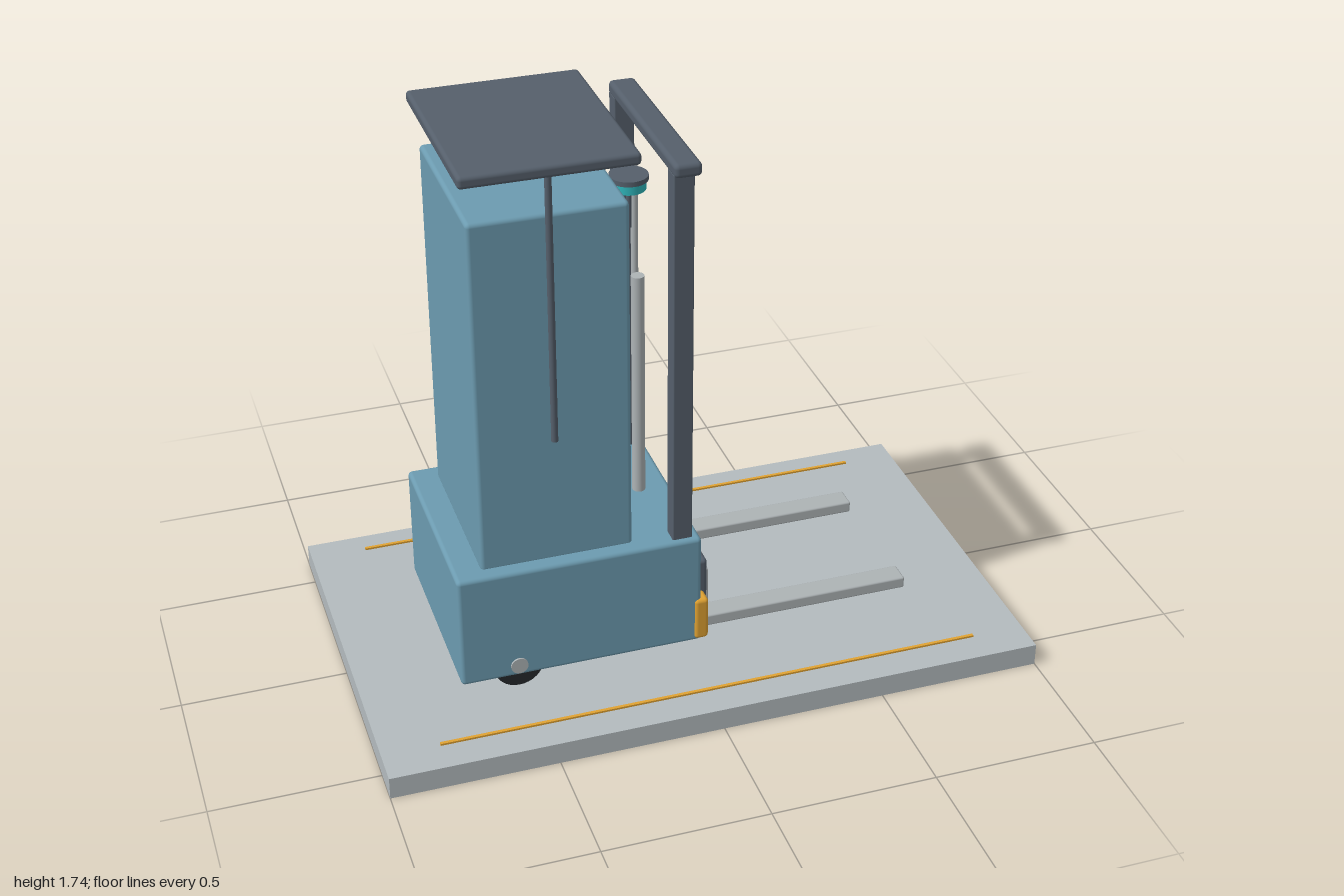
import * as THREE from 'three';
import { RoundedBoxGeometry } from 'three/addons/geometries/RoundedBoxGeometry.js';

const paint = (color) => new THREE.MeshStandardMaterial({ color });

export function createModel() {
  const model = new THREE.Group();
  const blue = paint(0x6c9bb0), dark = paint(0x555f6b), steel = paint(0xadb3b5);
  const slab = paint(0xb3bbbe), amber = paint(0xe0a232), teal = paint(0x30b8bd), rubber = paint(0x25282b);

  const add = (name, geometry, material, x, y, z) => {
    const mesh = new THREE.Mesh(geometry, material);
    mesh.name = name;
    mesh.position.set(x, y, z);
    model.add(mesh);
    return mesh;
  };
  // Box given by its limits on each axis, with optional edge radius
  const box = (name, material, [x0, x1], [y0, y1], [z0, z1], r = 0) => {
    const size = [x1 - x0, y1 - y0, z1 - z0];
    const geometry = r ? new RoundedBoxGeometry(...size, 3, r) : new THREE.BoxGeometry(...size);
    return add(name, geometry, material, (x0 + x1) / 2, (y0 + y1) / 2, (z0 + z1) / 2);
  };
  // Upright cylinder between two heights
  const rod = (name, material, r, x, y0, y1, z) =>
    add(name, new THREE.CylinderGeometry(r, r, y1 - y0, 32), material, x, (y0 + y1) / 2, z);
  // Cylinder lying along z
  const disc = (name, material, r, width, x, y, z) => {
    const mesh = add(name, new THREE.CylinderGeometry(r, r, width, 32), material, x, y, z);
    mesh.rotation.x = Math.PI / 2;
  };
  // Limits mirrored to either side
  const side = (s, a, b) => (s > 0 ? [a, b] : [-b, -a]);

  // Floor and body
  box('floorSlab', slab, [-1, 1], [0, 0.07], [-0.605, 0.605]);
  box('chassis', blue, [-0.715, 0.025], [0.112, 0.48], [-0.315, 0.315], 0.013);
  box('tower', blue, [-0.632, -0.175], [0.47, 1.587], [-0.27, 0.27], 0.013);

  // Canopy and mast crossbar
  box('canopy', dark, [-0.655, -0.15], [1.705, 1.742], [-0.303, 0.303], 0.012);
  box('mastCrossbar', dark, [-0.06, 0.02], [1.65, 1.692], [-0.308, 0.308], 0.014);

  // Lift cylinder and scanner
  rod('liftCylinder', steel, 0.02, -0.07, 0.47, 1.21, 0);
  rod('scannerStem', dark, 0.008, -0.095, 1.37, 1.5, 0);
  rod('scannerRing', teal, 0.05, -0.095, 1.492, 1.523, 0);
  rod('scannerCap', dark, 0.057, -0.095, 1.521, 1.536, 0);

  // Fork carriage and front bumper
  box('carriagePlate', dark, [0.02, 0.06], [0.225, 0.365], [-0.267, 0.267], 0.012);
  box('frontBumper', amber, [0.005, 0.04], [0.12, 0.24], [-0.28, 0.28], 0.008);

  for (const s of [1, -1]) {
    box('guideLine', amber, [-0.83, 0.83], [0.08, 0.086], side(s, 0.51, 0.52));
    rod('canopyPost', dark, 0.01, -0.405, 0.88, 1.71, s * 0.28);
    box('mastPost', dark, [-0.06, 0], [0.46, 1.66], side(s, 0.244, 0.298), 0.004);
    rod('mastRail', steel, 0.011, -0.004, 0.47, 1.48, s * 0.239);
    box('bumperCorner', amber, [0.003, 0.047], [0.12, 0.262], side(s, 0.265, 0.322), 0.012);
    box('forkShank', steel, [0.04, 0.066], [0.113, 0.325], side(s, 0.189, 0.258), 0.004);
    box('forkTine', steel, [0.045, 0.712], [0.113, 0.151], side(s, 0.187, 0.258), 0.006);
    // Wheels
    disc('rearWheel', rubber, 0.075, 0.043, -0.54, 0.15, s * 0.289);
    disc('rearHub', steel, 0.026, 0.05, -0.54, 0.15, s * 0.296);
    disc('frontWheel', rubber, 0.055, 0.045, -0.033, 0.132, s * 0.24);
  }
  return model;
}
